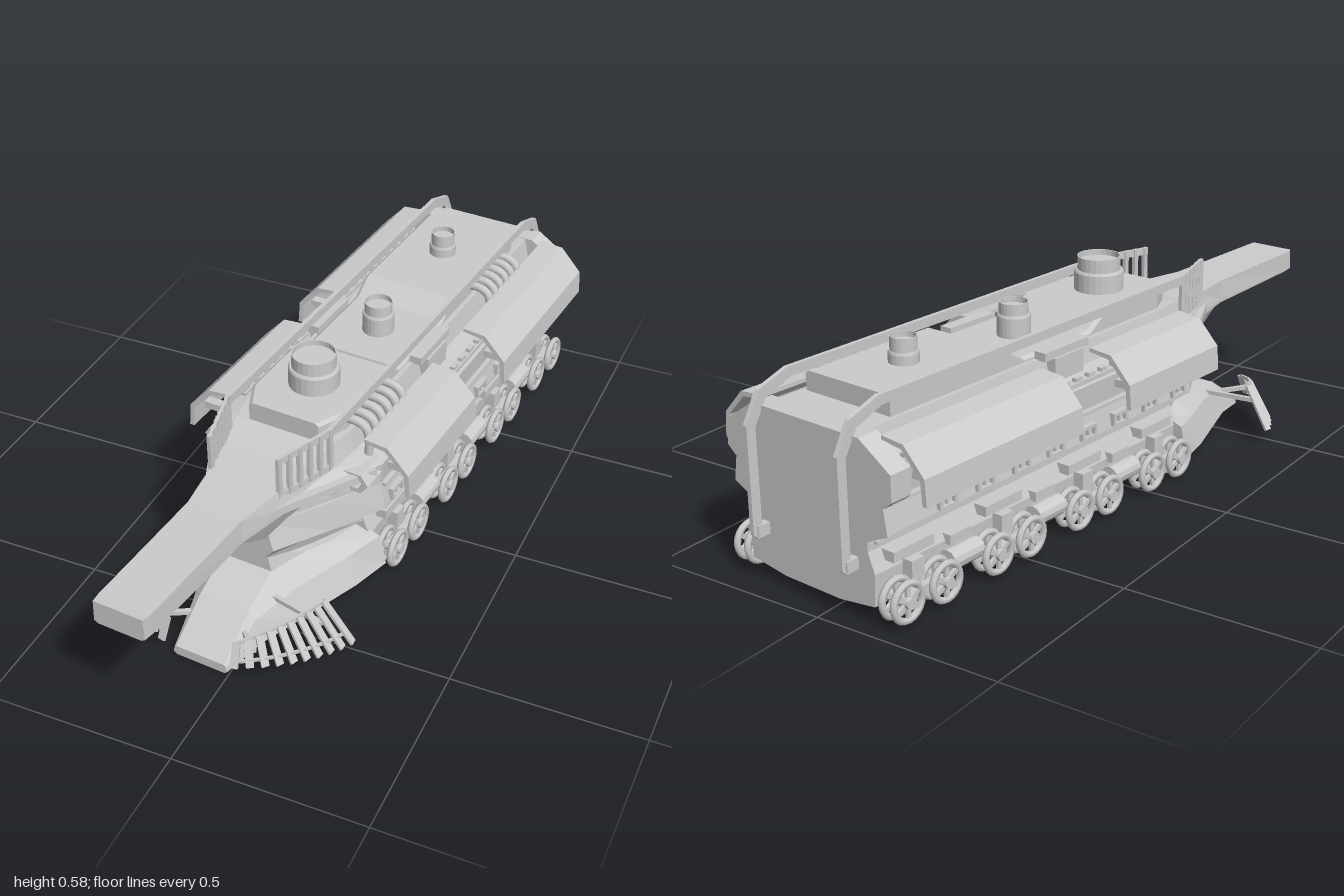
import * as THREE from 'three';

const mat = new THREE.MeshStandardMaterial({ color: 0xcccccc, flatShading: true, side: THREE.DoubleSide });
const smooth = new THREE.MeshStandardMaterial({ color: 0xcccccc, side: THREE.DoubleSide });
const V = (x, y, z) => new THREE.Vector3(x, y, z);
const shapeOf = (pts, s = 1) => new THREE.Shape(pts.map(([x, y]) => new THREE.Vector2(s * x, y)));

export function createModel() {
  const model = new THREE.Group();
  const add = (name, geo, m = mat, parent = model) => {
    const mesh = new THREE.Mesh(geo, m);
    mesh.name = name;
    parent.add(mesh);
    return mesh;
  };
  const box = (name, w, h, d, x, y, z) => add(name, new THREE.BoxGeometry(w, h, d).translate(x, y, z));

  // Mirrored half profiles (bottom to top), joined along z from back to front
  const loft = (name, sections) => {
    const rings = sections.map(([z, ...half]) => [
      ...half.map(([x, y]) => [x, y, z]),
      ...half.slice().reverse().map(([x, y]) => [-x, y, z])]);
    const p = [];
    const n = rings[0].length;
    for (let k = 0; k < rings.length - 1; k++) {
      const a = rings[k], b = rings[k + 1];
      for (let i = 0; i < n; i++) {
        const j = (i + 1) % n;
        p.push(...a[i], ...a[j], ...b[j], ...a[i], ...b[j], ...b[i]);
      }
    }
    // End caps as strips between mirrored corners
    const cap = (r, flip) => {
      for (let i = 0; i < n / 2 - 1; i++) {
        const a = r[i], b = r[i + 1], c = r[n - 2 - i], d = r[n - 1 - i];
        p.push(...(flip ? [a, c, b, a, d, c] : [a, b, c, a, c, d]).flat());
      }
    };
    cap(rings[0], true);
    cap(rings[rings.length - 1], false);
    const g = new THREE.BufferGeometry();
    g.setAttribute('position', new THREE.Float32BufferAttribute(p, 3));
    g.computeVertexNormals();
    return add(name, g);
  };

  // Outline in (x, y), given a length along z
  const crossPlate = (name, pts, s, z0, z1, hole) => {
    const shape = shapeOf(pts, s);
    if (hole) shape.holes.push(shapeOf(hole, s));
    return add(name, new THREE.ExtrudeGeometry(shape, { depth: z1 - z0, bevelEnabled: false }).translate(0, 0, z0));
  };

  // Outline in (z, y), given a thickness along x
  const sidePlate = (name, pts, x, thick, hole) => {
    const shape = shapeOf(pts);
    if (hole) shape.holes.push(shapeOf(hole));
    const g = new THREE.ExtrudeGeometry(shape, { depth: thick, bevelEnabled: false });
    return add(name, g.rotateY(-Math.PI / 2).translate(x + thick / 2, 0, 0));
  };
  const rect = (z, y, w, h) => [[z - w, y - h], [z + w, y - h], [z + w, y + h], [z - w, y + h]];

  // Straight bar between two points
  const beam = (name, a, b, w, h) => {
    const m = add(name, new THREE.BoxGeometry(w, h, a.distanceTo(b)));
    m.position.copy(a).lerp(b, 0.5);
    m.lookAt(b);
  };

  // Upper hull: side decks, raised centre, long bow beam
  const deck = [[0.235, 0.31], [0.24, 0.375], [0.16, 0.388], [0.148, 0.445]];
  loft('upperHull', [
    [-0.9, ...deck], [0.2, ...deck],
    [0.28, [0.18, 0.31], [0.19, 0.37], [0.15, 0.385], [0.135, 0.443]],
    [0.36, [0.1, 0.28], [0.15, 0.365], [0.13, 0.38], [0.115, 0.425]],
    [0.45, [0.065, 0.25], [0.11, 0.35], [0.11, 0.365], [0.1, 0.418]],
    [0.6, [0.06, 0.34], [0.078, 0.352], [0.078, 0.36], [0.075, 0.415]],
    [0.97, [0.06, 0.352], [0.07, 0.36], [0.07, 0.365], [0.07, 0.418]],
    [0.995, [0.058, 0.356], [0.068, 0.362], [0.068, 0.366], [0.066, 0.42]]]);
  const stern = [[0.24, 0.3], [0.264, 0.32], [0.264, 0.385], [0.17, 0.447]];
  loft('sternBlock', [[-0.945, ...stern], [-0.885, ...stern]]);

  // Middle hull with a pointed bow and overhanging ledge
  const mid = [[0.185, 0.17], [0.185, 0.205], [0.248, 0.235], [0.235, 0.315]];
  loft('middleHull', [
    [-0.945, ...mid], [0.2, ...mid],
    [0.34, [0.12, 0.175], [0.13, 0.205], [0.17, 0.235], [0.16, 0.315]],
    [0.48, [0.055, 0.19], [0.06, 0.205], [0.085, 0.235], [0.065, 0.31]]]);
  loft('bowNeck', [
    [0.1, [0.19, 0.13], [0.15, 0.2]],
    [0.3, [0.14, 0.13], [0.11, 0.2]],
    [0.47, [0.075, 0.14], [0.06, 0.21]]]);

  // Chassis and plough
  const base = [[0.09, 0.035], [0.2, 0.05], [0.205, 0.13], [0.185, 0.18]];
  loft('chassis', [[-0.945, ...base], [0.2, ...base]]);
  loft('plough', [
    [0.19, [0.13, 0.012], [0.25, 0.045], [0.23, 0.13], [0.17, 0.15]],
    [0.3, [0.16, 0.008], [0.22, 0.04], [0.19, 0.12], [0.14, 0.155]],
    [0.45, [0.13, 0.005], [0.16, 0.03], [0.13, 0.11], [0.07, 0.165]],
    [0.58, [0.09, 0.004], [0.11, 0.025], [0.09, 0.09], [0.07, 0.11]],
    [0.7, [0.07, 0.003], [0.078, 0.01], [0.075, 0.025], [0.07, 0.03]]]);

  // Raised roof with a sunken middle
  const roof = (z, y, w = 0.135) => [z, [w, 0.42], [w, y - 0.008], [w - 0.01, y]];
  loft('roofHouse', [roof(-0.81, 0.495), roof(-0.41, 0.495), roof(-0.35, 0.457),
    roof(-0.09, 0.457), roof(-0.03, 0.495), roof(0.2, 0.495), roof(0.275, 0.495, 0.1)]);

  // Funnels: stepped, open at the top
  const funnel = (z, r, y0, y1, y2) => {
    const pts = [[r * 1.14, y0], [r * 1.14, y1 - 0.006], [r * 1.08, y1], [r, y1], [r, y2],
      [r * 0.94, y2], [r * 0.94, y2 - 0.015], [0, y2 - 0.015]];
    add('funnel', new THREE.LatheGeometry(pts.map(p => new THREE.Vector2(...p)), 24).translate(0, 0, z));
  };
  funnel(0.12, 0.058, 0.47, 0.55, 0.586);
  funnel(-0.23, 0.038, 0.44, 0.515, 0.545);
  funnel(-0.625, 0.033, 0.47, 0.525, 0.56);

  const wheel = (s, z) => {
    const g = new THREE.Group();
    g.name = 'wheel';
    for (const x of [0.222, 0.258]) {
      add('rim', new THREE.TorusGeometry(0.045, 0.009, 6, 20).rotateY(Math.PI / 2).translate(s * x, 0, 0), smooth, g);
      for (let i = 0; i < 3; i++) {
        add('spoke', new THREE.BoxGeometry(0.008, 0.09, 0.012).rotateX(i * Math.PI / 3).translate(s * x, 0, 0), mat, g);
      }
    }
    add('hub', new THREE.CylinderGeometry(0.015, 0.015, 0.1, 12).rotateZ(Math.PI / 2).translate(s * 0.222, 0, 0), mat, g);
    g.position.set(0, 0.064, z);
    model.add(g);
  };

  for (const s of [1, -1]) {
    // Curved side shields with brackets
    for (const [z0, z1] of [[-0.17, 0.216], [-0.9, -0.357]]) {
      crossPlate('sideShield', [[0.325, 0.31], [0.32, 0.375], [0.26, 0.44], [0.195, 0.446],
        [0.195, 0.436], [0.253, 0.428], [0.307, 0.37], [0.312, 0.31]], s, z0, z1);
      for (const z of [z0 + 0.06, z1 - 0.06]) box('shieldBracket', 0.085, 0.02, 0.025, s * 0.272, 0.35, z);
    }

    // Block between the shields
    box('sideBlock', 0.04, 0.07, 0.11, s * 0.16, 0.41, -0.23);
    box('sideBlockCap', 0.035, 0.022, 0.17, s * 0.155, 0.454, -0.23);

    // Studded strip along the side deck
    box('deckStrip', 0.022, 0.012, 1.0, s * 0.22, 0.382, -0.38);
    for (let i = 0; i < 20; i++) box('deckStud', 0.014, 0.012, 0.025, s * 0.22, 0.392, 0.1 - i * 0.05);

    // Roof rail bending down over the stern
    sidePlate('roofRail', [[0.3, 0.515], [-0.86, 0.515], [-0.95, 0.485], [-0.991, 0.41], [-0.991, 0.14],
      [-0.975, 0.125], [-0.965, 0.15], [-0.965, 0.4], [-0.93, 0.46], [-0.85, 0.49], [0.3, 0.49]], s * 0.145, 0.012);
    box('sternFoot', 0.02, 0.03, 0.04, s * 0.145, 0.145, -0.96);

    // Slatted screen converging over the bow
    for (let i = 0; i < 6; i++) {
      const t = i / 5;
      const x = s * (0.146 - 0.05 * t), z = 0.3 + 0.16 * t;
      beam('screenSlat', V(x, 0.395, z), V(x, 0.515, z), 0.01, 0.016);
    }
    for (const y of [0.4, 0.505]) beam('screenBar', V(s * 0.146, y, 0.3), V(s * 0.096, y, 0.46), 0.008, 0.02);

    // Braces and hexagonal pods beside the neck
    beam('neckBrace', V(s * 0.228, 0.362, 0.22), V(s * 0.085, 0.37, 0.5), 0.02, 0.022);
    beam('neckBrace', V(s * 0.225, 0.32, 0.2), V(s * 0.075, 0.318, 0.44), 0.02, 0.02);
    crossPlate('bowPod', [[0.135, 0.352], [0.158, 0.38], [0.218, 0.38], [0.238, 0.352], [0.218, 0.325], [0.158, 0.325]],
      s, 0.18, 0.275, [[0.155, 0.352], [0.168, 0.368], [0.21, 0.368], [0.222, 0.352], [0.21, 0.337], [0.168, 0.337]]);

    // Windows and ledge strips
    for (let i = 0; i < 8; i++) {
      const z = 0.14 - i * 0.128;
      sidePlate('windowFrame', rect(z, 0.26, 0.03, 0.017), s * 0.245, 0.022, rect(z, 0.258, 0.02, 0.01));
      box('windowBar', 0.02, 0.02, 0.008, s * 0.243, 0.26, z);
    }
    for (const y of [0.235, 0.307]) box('ledgeStrip', 0.014, 0.008, 1.12, s * 0.241, y, -0.365);
    box('lowerStrip', 0.016, 0.008, 1.12, s * 0.187, 0.197, -0.365);

    // Running gear
    for (const z of [0.14, 0.02, -0.165, -0.285, -0.475, -0.595, -0.775, -0.9]) wheel(s, z);
    for (const z of [0.08, -0.225, -0.535, -0.84]) {
      box('fender', 0.05, 0.026, 0.13, s * 0.2, 0.163, z);
      box('bogieBeam', 0.02, 0.025, 0.14, s * 0.24, 0.065, z);
      box('suspension', 0.03, 0.05, 0.04, s * 0.22, 0.115, z);
    }
    for (const z of [-0.073, -0.38, -0.685]) {
      add('tank', new THREE.CylinderGeometry(0.027, 0.027, 0.1, 12).rotateX(Math.PI / 2).translate(s * 0.225, 0.09, z));
      box('sideBox', 0.035, 0.025, 0.07, s * 0.205, 0.135, z);
    }

    // Slatted deflector wings at the bow
    const top = new THREE.QuadraticBezierCurve3(V(s * 0.24, 0.16, 0.505), V(s * 0.2, 0.14, 0.6), V(s * 0.1, 0.105, 0.685));
    const low = new THREE.QuadraticBezierCurve3(V(s * 0.317, 0.047, 0.495), V(s * 0.26, 0.045, 0.62), V(s * 0.105, 0.045, 0.71));
    const N = 9;
    for (let i = 0; i <= N; i++) {
      const a = top.getPoint(i / N), b = low.getPoint(i / N);
      beam('wingSlat', a, b, 0.02, 0.007);
      if (i < N) {
        const c = top.getPoint((i + 1) / N), d = low.getPoint((i + 1) / N);
        beam('wingRail', a, c, 0.007, 0.009);
        beam('wingRail', a.lerp(b, 0.75), c.lerp(d, 0.75), 0.006, 0.008);
      }
    }
    beam('wingStrut', V(s * 0.25, 0.11, 0.53), V(s * 0.08, 0.11, 0.5), 0.012, 0.012);
    beam('wingStrut', V(s * 0.14, 0.085, 0.67), V(s * 0.06, 0.07, 0.6), 0.012, 0.012);
  }

  // Exhaust pipes on the left side only
  for (const z0 of [0.0, -0.72]) {
    for (let i = 0; i < 6; i++) {
      const z = z0 + i * 0.037;
      const path = new THREE.CatmullRomCurve3([V(0.125, 0.47, z), V(0.16, 0.47, z), V(0.183, 0.459, z), V(0.193, 0.435, z), V(0.193, 0.375, z)]);
      add('exhaustPipe', new THREE.TubeGeometry(path, 12, 0.012, 8), smooth);
    }
  }

  // The whole vehicle stands slightly turned
  model.rotation.y = -0.088;
  model.position.x = -0.02;
  const root = new THREE.Group();
  root.name = 'landCruiser';
  root.add(model);
  return root;
}
